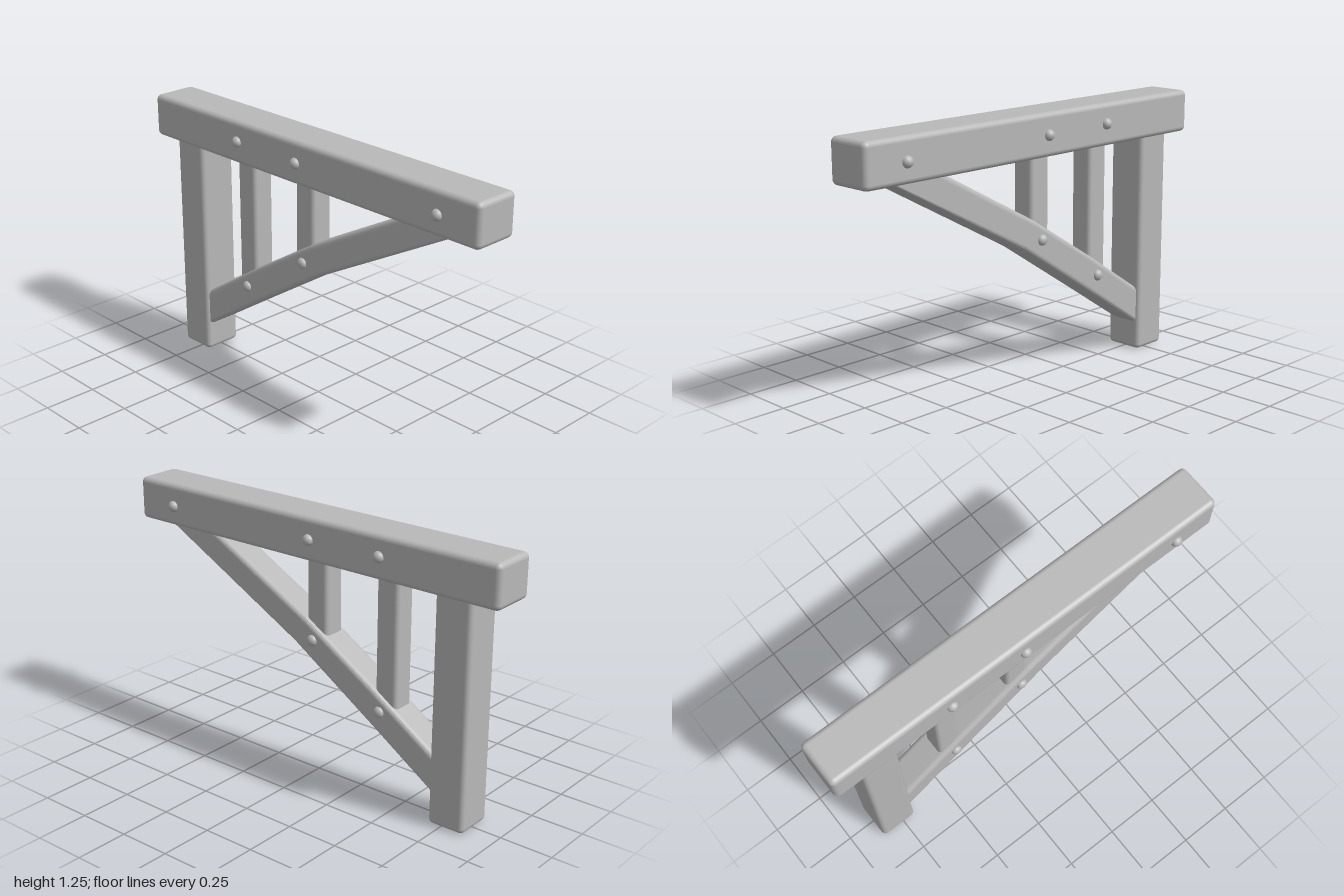
import * as THREE from 'three';
import { RoundedBoxGeometry } from 'three/addons/geometries/RoundedBoxGeometry.js';

export function createModel() {
  const group = new THREE.Group();
  const grey = new THREE.MeshStandardMaterial({ color: 0xb8b8b8 });
  grey.name = 'grey';

  function add(name, geometry, x = 0, y = 0, z = 0) {
    const mesh = new THREE.Mesh(geometry, grey);
    mesh.name = name;
    mesh.position.set(x, y, z);
    group.add(mesh);
    return mesh;
  }

  // Rounded timber given by its x and y limits and its depth
  function timber(name, x0, x1, y0, y1, depth, radius) {
    const geometry = new RoundedBoxGeometry(x1 - x0, y1 - y0, depth, 3, radius);
    add(name, geometry, (x0 + x1) / 2, (y0 + y1) / 2);
  }

  timber('topBeam', -1, 1, 1.05, 1.25, 0.222, 0.025);
  timber('post', -0.865, -0.685, 0, 1.1, 0.188, 0.022);
  timber('outerStrut', -0.475, -0.36, 0.42, 1.1, 0.112, 0.02);
  timber('innerStrut', -0.09, 0.025, 0.66, 1.1, 0.112, 0.02);

  // Slightly bowed diagonal brace, its ends buried in the post and beam
  const outline = [
    [-0.76, 0.09], [-0.35, 0.358], [0.085, 0.64], [0.928, 1.1],
    [0.633, 1.1], [0.02, 0.77], [-0.36, 0.533], [-0.76, 0.27],
  ].map(([x, y]) => new THREE.Vector2(x, y));
  const bevel = 0.024, braceDepth = 0.155;
  const brace = new THREE.ExtrudeGeometry(new THREE.Shape(outline), {
    depth: braceDepth - 2 * bevel,
    bevelEnabled: true,
    bevelThickness: bevel,
    bevelSize: bevel,
    bevelOffset: -bevel,
    bevelSegments: 5,
  });
  brace.translate(0, 0, -braceDepth / 2 + bevel);
  add('diagonalBrace', brace);

  // Domed bolt heads on both faces: x, y, face depth, protrusion
  const bolts = [
    [-0.41, 1.155, 0.111, 0.025], [-0.03, 1.15, 0.111, 0.025], [0.785, 1.145, 0.111, 0.025],
    [-0.4, 0.435, 0.0775, 0.021], [-0.023, 0.673, 0.0775, 0.021],
  ];
  const head = new THREE.SphereGeometry(0.026, 16, 10);
  for (const [x, y, face, height] of bolts) {
    for (const side of [1, -1]) {
      const bolt = add('boltHead', head, x, y, side * face);
      bolt.scale.z = height / 0.026;
    }
  }

  return group;
}
